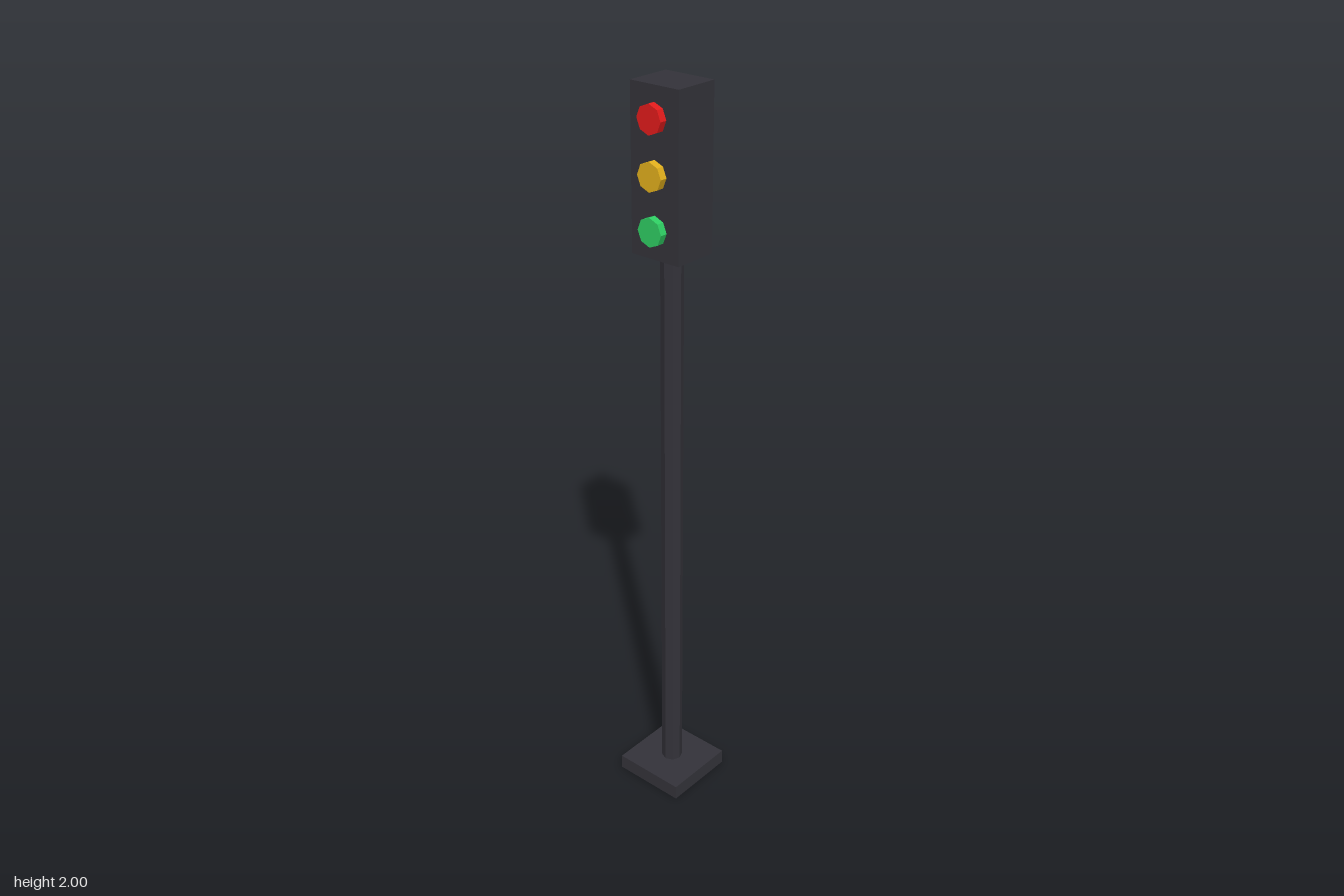
import * as THREE from 'three';

const material = (name, color) => {
  const m = new THREE.MeshStandardMaterial({ color, flatShading: true });
  m.name = name;
  return m;
};

export function createModel() {
  const model = new THREE.Group();
  model.name = 'trafficLight';
  const metal = material('darkMetal', 0x333239);

  const add = (name, geometry, mat, x, y, z) => {
    const mesh = new THREE.Mesh(geometry, mat);
    mesh.name = name;
    mesh.position.set(x, y, z);
    model.add(mesh);
    return mesh;
  };

  // Square foot, slim pole and signal housing
  add('base', new THREE.BoxGeometry(0.208, 0.042, 0.208), metal, 0, 0.021, 0);
  add('pole', new THREE.CylinderGeometry(0.029, 0.029, 1.55, 8), metal, 0, 0.817, 0);
  add('housing', new THREE.BoxGeometry(0.146, 0.414, 0.124), metal, 0, 1.793, 0);

  // Three lamps standing proud of the front face
  const lampGeometry = new THREE.CylinderGeometry(0.0365, 0.0365, 0.04, 8);
  lampGeometry.rotateX(Math.PI / 2);
  [
    ['redLamp', 0xe01b1b, 1.925],
    ['amberLamp', 0xe0ae1c, 1.792],
    ['greenLamp', 0x2ecc62, 1.659],
  ].forEach(([name, color, y]) => add(name, lampGeometry, material(name, color), 0, y, 0.062));

  return model;
}
